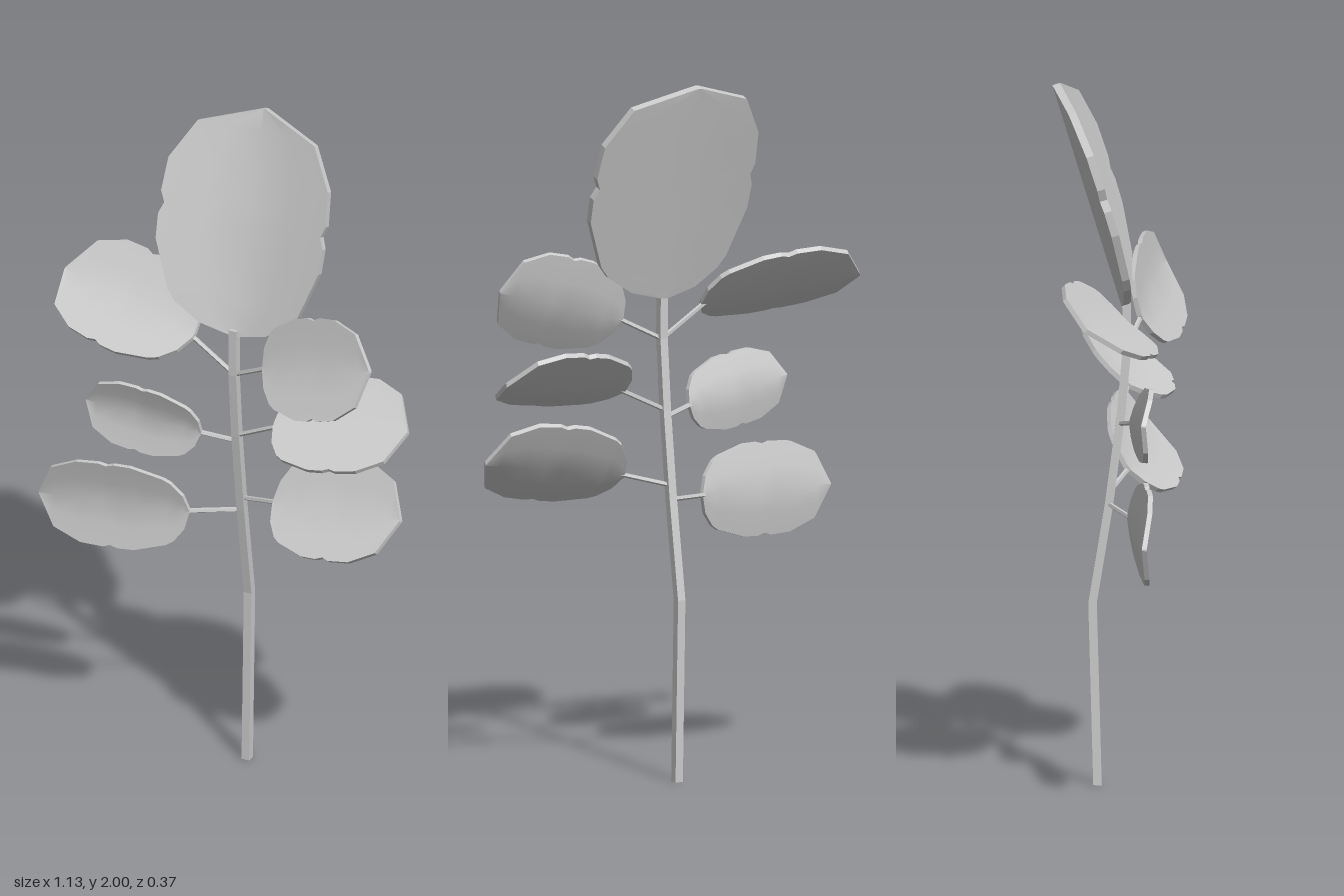
import * as THREE from 'three';

const grey = new THREE.MeshStandardMaterial({ color: 0xcccccc });
const greyFlat = new THREE.MeshStandardMaterial({ color: 0xcccccc, flatShading: true });

// Leaf outline: [distance along midrib, half width], both 0..1
const OUTLINE = [
  [0, 0.05], [0.03, 0.4], [0.1, 0.69], [0.15, 0.79], [0.36, 0.99], [0.47, 1],
  [0.52, 0.95], [0.57, 1], [0.72, 0.97], [0.9, 0.71], [1, 0.02],
];
const COLUMNS = [-1, -0.5, 0, 0.5, 1];

// Stem centre line: [height, z]
const STEM_X = 0.015;
const STEM = [[0, -0.062], [0.52, -0.076], [0.8, -0.03], [1.05, 0.003], [1.25, 0.021], [1.39, 0.019]];

function stemAt(y) {
  let i = 1;
  while (i < STEM.length - 1 && STEM[i][0] < y) i++;
  const [y0, z0] = STEM[i - 1], [y1, z1] = STEM[i];
  return new THREE.Vector3(STEM_X, y, z0 + (z1 - z0) * (y - y0) / (y1 - y0));
}

// Cupped leaf blade from base to tip; length x across points to the face side
function leafGeometry(base, tip, across, width, cup, thick) {
  const along = tip.clone().sub(base);
  const dir = along.clone().normalize();
  const side = across.clone().addScaledVector(dir, -across.dot(dir)).normalize();
  const normal = dir.clone().cross(side);
  const pos = [], index = [];
  const point = (row, u, offset) => {
    const [t, w] = OUTLINE[row];
    const x = u * w;
    return base.clone().addScaledVector(along, t)
      .addScaledVector(side, x * width / 2)
      .addScaledVector(normal, cup * Math.pow(Math.abs(x), 1.3) + offset);
  };
  const quad = (a, b, c, d) => index.push(a, b, c, a, c, d);
  const n = COLUMNS.length, rows = OUTLINE.length;

  // Front and back skins
  for (const s of [1, -1]) {
    const start = pos.length / 3;
    for (let r = 0; r < rows; r++)
      for (const u of COLUMNS) pos.push(...point(r, u, s * thick / 2).toArray());
    for (let r = 0; r < rows - 1; r++)
      for (let c = 0; c < n - 1; c++) {
        const a = start + r * n + c, b = a + n;
        if (s > 0) quad(a, b, b + 1, a + 1);
        else quad(a, a + 1, b + 1, b);
      }
  }

  // Rim, with its own corners so the edge stays sharp
  const loop = [];
  for (let r = 0; r < rows; r++) loop.push([r, 1]);
  for (let r = rows - 1; r >= 0; r--) loop.push([r, -1]);
  loop.forEach((p, i) => {
    const q = loop[(i + 1) % loop.length];
    const k = pos.length / 3;
    for (const [[r, u], s] of [[p, -1], [q, -1], [q, 1], [p, 1]])
      pos.push(...point(r, u, s * thick / 2).toArray());
    quad(k, k + 3, k + 2, k + 1);
  });

  const g = new THREE.BufferGeometry();
  g.setAttribute('position', new THREE.Float32BufferAttribute(pos, 3));
  g.setIndex(index);
  g.computeVertexNormals();
  return g;
}

function add(parent, geometry, material, name) {
  const mesh = new THREE.Mesh(geometry, material);
  mesh.name = name;
  parent.add(mesh);
  return mesh;
}

// Thin stalk between two points
function addStalk(parent, a, b, radius) {
  const d = b.clone().sub(a);
  const mesh = add(parent, new THREE.CylinderGeometry(radius, radius, d.length(), 5), greyFlat, 'stalk');
  mesh.position.copy(a).addScaledVector(d, 0.5);
  mesh.quaternion.setFromUnitVectors(new THREE.Vector3(0, 1, 0), d.normalize());
}

// Side leaves: base, tip, across direction, width, height of the stalk on the stem
const SIDE_LEAVES = [
  { name: 'upperLeftLeaf', base: [0.125, 1.31, 0.055], tip: [0.488, 1.41, 0.115], across: [0, 0.28, -0.11], width: 0.29, y: 1.25 },
  { name: 'upperRightLeaf', base: [-0.11, 1.34, 0.02], tip: [-0.565, 1.4, -0.085], across: [0, -0.21, 0.25], width: 0.31, y: 1.25 },
  { name: 'middleLeftLeaf', base: [0.14, 1.115, 0.02], tip: [0.543, 1.17, -0.015], across: [0, 0.18, -0.26], width: 0.31, y: 1.05 },
  { name: 'middleRightLeaf', base: [-0.08, 1.05, 0.035], tip: [-0.42, 1.1, 0.075], across: [0, -0.21, -0.02], width: 0.21, y: 1.03 },
  { name: 'lowerLeftLeaf', base: [0.14, 0.875, 0.02], tip: [0.562, 0.935, 0.07], across: [0, 0.24, -0.19], width: 0.3, y: 0.84 },
  { name: 'lowerRightLeaf', base: [-0.12, 0.79, 0.03], tip: [-0.565, 0.775, 0.08], across: [0, -0.26, -0.01], width: 0.265, y: 0.8 },
];

export function createModel() {
  const model = new THREE.Group();
  model.name = 'leafyTwig';
  const v = (a) => new THREE.Vector3(...a);

  // Square stem bent along its centre line
  const stem = new THREE.BoxGeometry(0.024, 1, 0.024, 1, STEM.length - 1, 1);
  const p = stem.attributes.position;
  for (let i = 0; i < p.count; i++) {
    const [y, z] = STEM[Math.round((p.getY(i) + 0.5) * (STEM.length - 1))];
    p.setXYZ(i, p.getX(i) + STEM_X, y, p.getZ(i) + z);
  }
  add(model, stem, greyFlat, 'stem');

  // Large leaf at the top
  add(model, leafGeometry(v([STEM_X, 1.37, 0.015]), v([STEM_X, 1.997, -0.178]),
    v([-1, 0, 0]), 0.515, 0.05, 0.022), grey, 'topLeaf');

  // Side leaves on stalks
  for (const s of SIDE_LEAVES) {
    const group = new THREE.Group();
    group.name = s.name;
    const base = v(s.base), tip = v(s.tip);
    add(group, leafGeometry(base, tip, v(s.across), s.width, 0.025, 0.014), grey, 'blade');
    addStalk(group, stemAt(s.y), base.clone().lerp(tip, 0.03), 0.007);
    model.add(group);
  }
  return model;
}
